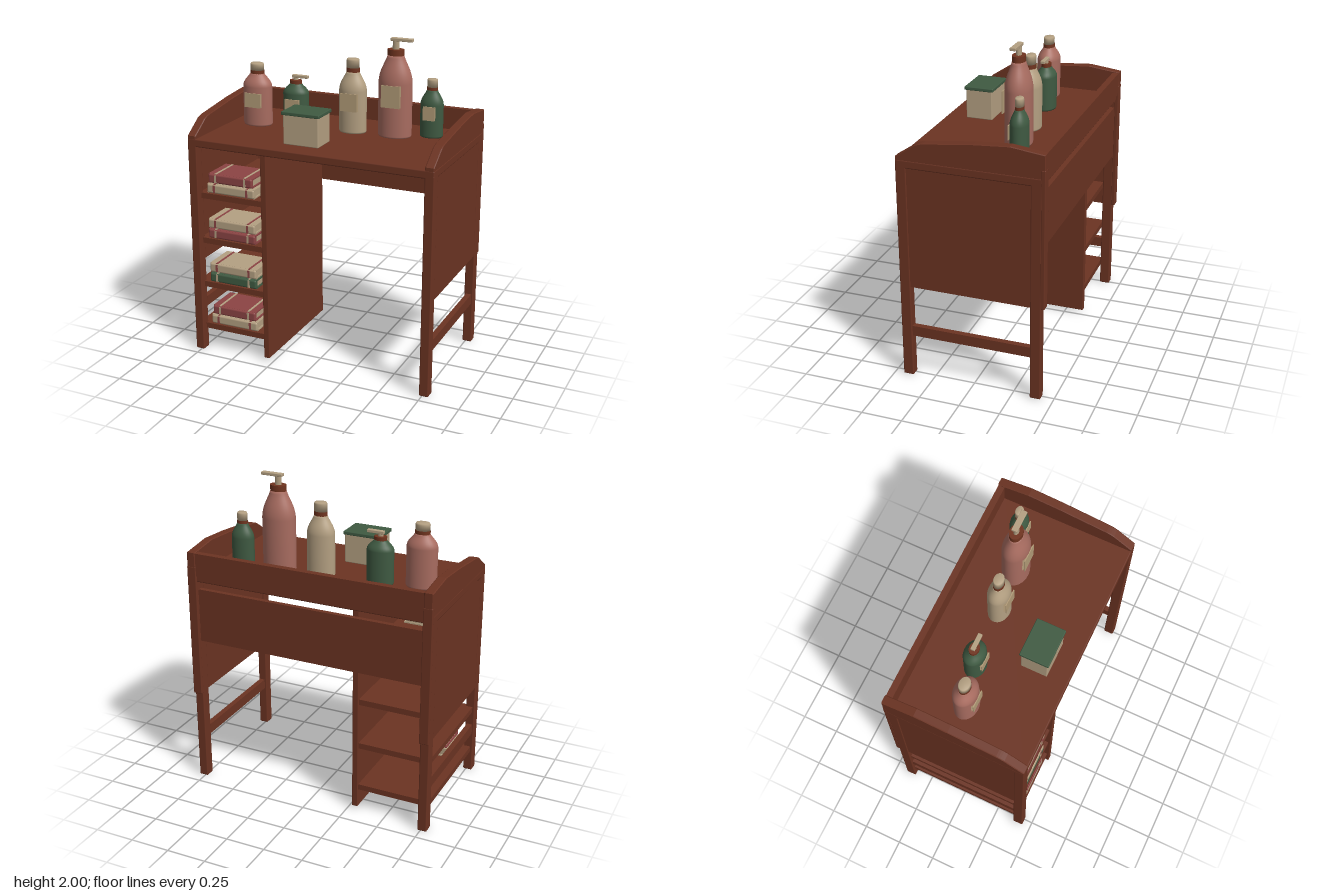
import * as THREE from 'three';
import { RoundedBoxGeometry } from 'three/addons/geometries/RoundedBoxGeometry.js';

const mat = (name, color, side = THREE.FrontSide) =>
  Object.assign(new THREE.MeshStandardMaterial({ color, side }), { name });

export function createModel() {
  const wood = mat('wood', 0x6b3322);
  const pink = mat('dusty pink', 0xa86c60);
  const green = mat('dark green', 0x3f5a42);
  const cream = mat('cream', 0xb4a082);
  const red = mat('book red', 0x8c4444);
  const paper = mat('label paper', 0xb39c78);
  const collarBrown = mat('collar brown', 0x70341f);

  const model = new THREE.Group();
  model.name = 'desk';

  const add = (parent, name, geometry, material) => {
    const mesh = new THREE.Mesh(geometry, material);
    mesh.name = name;
    parent.add(mesh);
    return mesh;
  };

  // Box given by its limits on each axis, with an optional softened edge
  const box = (parent, name, material, [x0, x1], [y0, y1], [z0, z1], bevel = 0) => {
    const size = [x1 - x0, y1 - y0, z1 - z0];
    const geometry = bevel ? new RoundedBoxGeometry(...size, 2, bevel) : new THREE.BoxGeometry(...size);
    const mesh = add(parent, name, geometry, material);
    mesh.position.set((x0 + x1) / 2, (y0 + y1) / 2, (z0 + z1) / 2);
    return mesh;
  };

  // Table top, back gallery and apron
  box(model, 'tableTop', wood, [-0.79, 0.79], [1.35, 1.40], [-0.43, 0.445], 0.008);
  box(model, 'backGallery', wood, [-0.735, 0.735], [1.39, 1.535], [-0.44, -0.40]);
  box(model, 'backApron', wood, [-0.74, 0.74], [0.96, 1.30], [-0.42, -0.39]);

  // Curved gallery side profile, drawn as (-z, y)
  const profile = new THREE.Shape();
  profile.moveTo(-0.44, 1.395);
  profile.lineTo(-0.44, 1.415);
  profile.lineTo(-0.32, 1.495);
  profile.quadraticCurveTo(-0.30, 1.505, -0.27, 1.51);
  profile.lineTo(0.03, 1.545);
  profile.lineTo(0.24, 1.56);
  profile.lineTo(0.44, 1.535);
  profile.lineTo(0.44, 1.395);

  // Legs, side panels, rails and gallery ends, mirrored
  for (const s of [-1, 1]) {
    const side = new THREE.Group();
    side.name = s > 0 ? 'leftSide' : 'rightSide';
    model.add(side);
    const span = (a, b) => (s > 0 ? [a, b] : [-b, -a]);
    const leg = span(0.732, 0.79);
    box(side, 'frontLeg', wood, leg, [0, 1.37], [0.38, 0.445], 0.007);
    box(side, 'backLeg', wood, leg, [0, 1.37], [-0.425, -0.36], 0.007);
    box(side, 'backBatten', wood, leg, [0.60, 1.45], [-0.445, -0.42], 0.005);
    box(side, 'sidePanel', wood, span(0.745, 0.785), [0.60, 1.40], [-0.37, 0.39]);
    box(side, 'sideRail', wood, span(0.745, 0.78), [0.27, 0.335], [-0.37, 0.39]);
    const end = add(side, 'galleryEnd', new THREE.ExtrudeGeometry(profile, {
      depth: 0.045, bevelSize: 0.004, bevelThickness: 0.005, bevelSegments: 1, curveSegments: 4,
    }), wood);
    end.rotation.y = Math.PI / 2;
    end.position.x = leg[0] + 0.006;
  }

  // Bookcase under the top
  box(model, 'divider', wood, [-0.312, -0.275], [0.018, 1.352], [-0.37, 0.42], 0.004);
  const shelves = [0.172, 0.46, 0.755, 1.05];
  for (const y of shelves) box(model, 'shelf', wood, [-0.775, -0.30], [y - 0.036, y], [-0.36, 0.405]);

  // Book lying flat: covers, rounded spine, pages and two bands wrapped around it
  const book = (cover, band, x0, x1, y0, y1) => {
    const g = new THREE.Group();
    g.name = 'book';
    model.add(g);
    const t = 0.009, z0 = 0.18, z1 = 0.40;
    box(g, 'pages', cream, [x0 + 0.01, x1 - 0.01], [y0 + t, y1 - t], [z0 + 0.008, z1 - 0.01]);
    box(g, 'bottomCover', cover, [x0, x1], [y0, y0 + t], [z0, z1 - 0.01]);
    box(g, 'topCover', cover, [x0, x1], [y1 - t, y1], [z0, z1 - 0.01]);
    box(g, 'spine', cover, [x0, x1], [y0, y1], [z1 - 0.03, z1], 0.012);
    for (const x of [x0 + 0.05, x1 - 0.05]) {
      box(g, 'spineBand', band, [x - 0.007, x + 0.007], [y0 + 0.006, y1 - 0.006], [z1 - 0.004, z1 + 0.002]);
      box(g, 'coverBand', band, [x - 0.007, x + 0.007], [y1 - 0.004, y1 + 0.002], [z0, z1 - 0.006]);
    }
  };
  const stacks = [[cream, red], [green, cream], [red, cream], [cream, red]];
  stacks.forEach(([lower, upper], i) => {
    const y = shelves[i];
    const bandFor = (c) => (c === cream ? red : cream);
    book(lower, bandFor(lower), -0.695, -0.37, y + 0.002, y + 0.06);
    const inset = upper === red ? 0.012 : 0;
    book(upper, bandFor(upper), -0.695 + inset, -0.37 - inset, y + 0.068, y + 0.127);
  });

  // Oval bottle: lathed body, label, collar, then a cap or a pump
  const bottle = ({ color, x, z, w, d, shoulder, neck, r, collar, top, label, pump }) => {
    const g = new THREE.Group();
    g.name = pump ? 'pumpBottle' : 'cappedBottle';
    g.position.set(x, 1.40, z);
    model.add(g);
    const h = shoulder - 1.40, n = neck - 1.40, c = collar - 1.40, t = top - 1.40;
    const k = d / w;
    const curve = new THREE.CubicBezierCurve(
      new THREE.Vector2(w, h), new THREE.Vector2(w * 0.97, h + (n - h) * 0.45),
      new THREE.Vector2(r * 1.25, h + (n - h) * 0.7), new THREE.Vector2(r, n));
    const points = [new THREE.Vector2(0, 0), new THREE.Vector2(w * 0.95, 0), new THREE.Vector2(w, 0.01),
      ...curve.getPoints(8), new THREE.Vector2(0, n)];
    add(g, 'body', new THREE.LatheGeometry(points, 32), color).scale.z = k;
    const cyl = (name, material, radius, y0, y1) => {
      const m = add(g, name, new THREE.CylinderGeometry(radius, radius, y1 - y0, 24), material);
      m.position.y = (y0 + y1) / 2;
      m.scale.z = k;
    };
    cyl('collar', collarBrown, r * 1.03, n - 0.004, c);
    if (pump) {
      cyl('pumpStem', cream, r * 0.42, c, t - 0.012);
      box(g, 'pumpNozzle', cream, [-r * 0.6, pump], [t - 0.018, t], [-r * 0.35, r * 0.35], 0.003);
    } else {
      const cap = [[0, c], [r, c], [r, t - 0.01], [r * 0.9, t], [0, t]].map((p) => new THREE.Vector2(...p));
      add(g, 'cap', new THREE.LatheGeometry(cap, 24), cream).scale.z = k;
    }
    const [lw, ly0, ly1] = label;
    box(g, 'label', paper, [-lw / 2, lw / 2], [ly0 - 1.4, ly1 - 1.4], [d - 0.002, d + 0.004]);
    // Sides of the label that follow the body
    const a = Math.asin(Math.min(0.95, lw / 2 / w));
    const wrap = add(g, 'labelWrap', new THREE.CylinderGeometry(w + 0.002, w + 0.002, ly1 - ly0, 12, 1, true, -a, 2 * a), paper);
    wrap.position.y = (ly0 + ly1) / 2 - 1.4;
    wrap.scale.z = k;
  };
  bottle({ color: pink, x: -0.555, z: -0.025, w: 0.095, d: 0.071, shoulder: 1.645, neck: 1.727, r: 0.045,
    collar: 1.746, top: 1.79, label: [0.11, 1.52, 1.61] });
  bottle({ color: green, x: -0.318, z: -0.085, w: 0.084, d: 0.064, shoulder: 1.61, neck: 1.672, r: 0.038,
    collar: 1.692, top: 1.725, label: [0.095, 1.50, 1.58], pump: 0.083 });
  bottle({ color: cream, x: 0.056, z: -0.11, w: 0.088, d: 0.066, shoulder: 1.66, neck: 1.777, r: 0.041,
    collar: 1.80, top: 1.855, label: [0.11, 1.54, 1.65] });
  bottle({ color: pink, x: 0.325, z: -0.13, w: 0.106, d: 0.08, shoulder: 1.73, neck: 1.90, r: 0.05,
    collar: 1.932, top: 2.0, label: [0.12, 1.59, 1.725], pump: 0.107 });
  bottle({ color: green, x: 0.533, z: -0.207, w: 0.072, d: 0.054, shoulder: 1.60, neck: 1.69, r: 0.033,
    collar: 1.706, top: 1.756, label: [0.076, 1.51, 1.595] });

  // Lidded box
  box(model, 'boxBody', cream, [-0.207, 0.022], [1.40, 1.585], [0.15, 0.317], 0.006);
  box(model, 'boxLid', green, [-0.215, 0.03], [1.58, 1.602], [0.142, 0.325], 0.005);

  return model;
}
